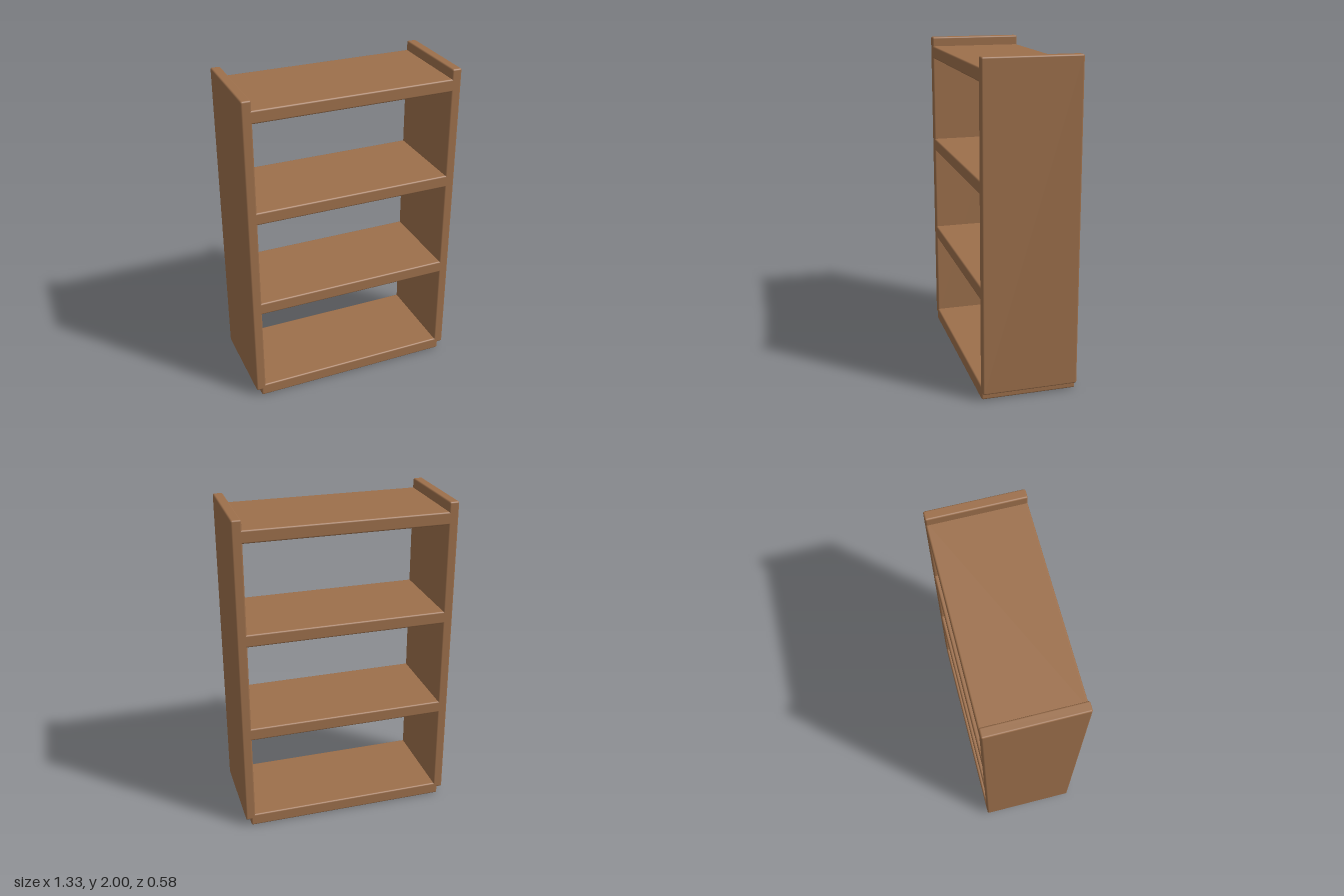
import * as THREE from 'three';
import { RoundedBoxGeometry } from 'three/addons/geometries/RoundedBoxGeometry.js';

const DEPTH = 0.58;
const EDGE = 0.01; // softened board edges

export function createModel() {
  const bookcase = new THREE.Group();
  bookcase.name = 'bookcase';

  const wood = new THREE.MeshStandardMaterial({ color: 0x9c6f4b });
  wood.name = 'brown wood';

  const addBoard = (name, width, height, x, y) => {
    const board = new THREE.Mesh(new RoundedBoxGeometry(width, height, DEPTH, 2, EDGE), wood);
    board.name = name;
    board.position.set(x, y, 0);
    bookcase.add(board);
  };

  // Upright side panels, stopping just above the floor
  const panelBottom = 0.045;
  const panelHeight = 2 - panelBottom;
  for (const side of [-1, 1]) {
    addBoard(side > 0 ? 'leftPanel' : 'rightPanel', 0.06, panelHeight, side * 0.635, panelBottom + panelHeight / 2);
  }

  // Four evenly spaced shelves, let into the panels
  const thickness = 0.078;
  for (let i = 0; i < 4; i++) {
    addBoard(`shelf${i + 1}`, 1.264, thickness, 0, thickness / 2 + i * 0.621);
  }

  return bookcase;
}
